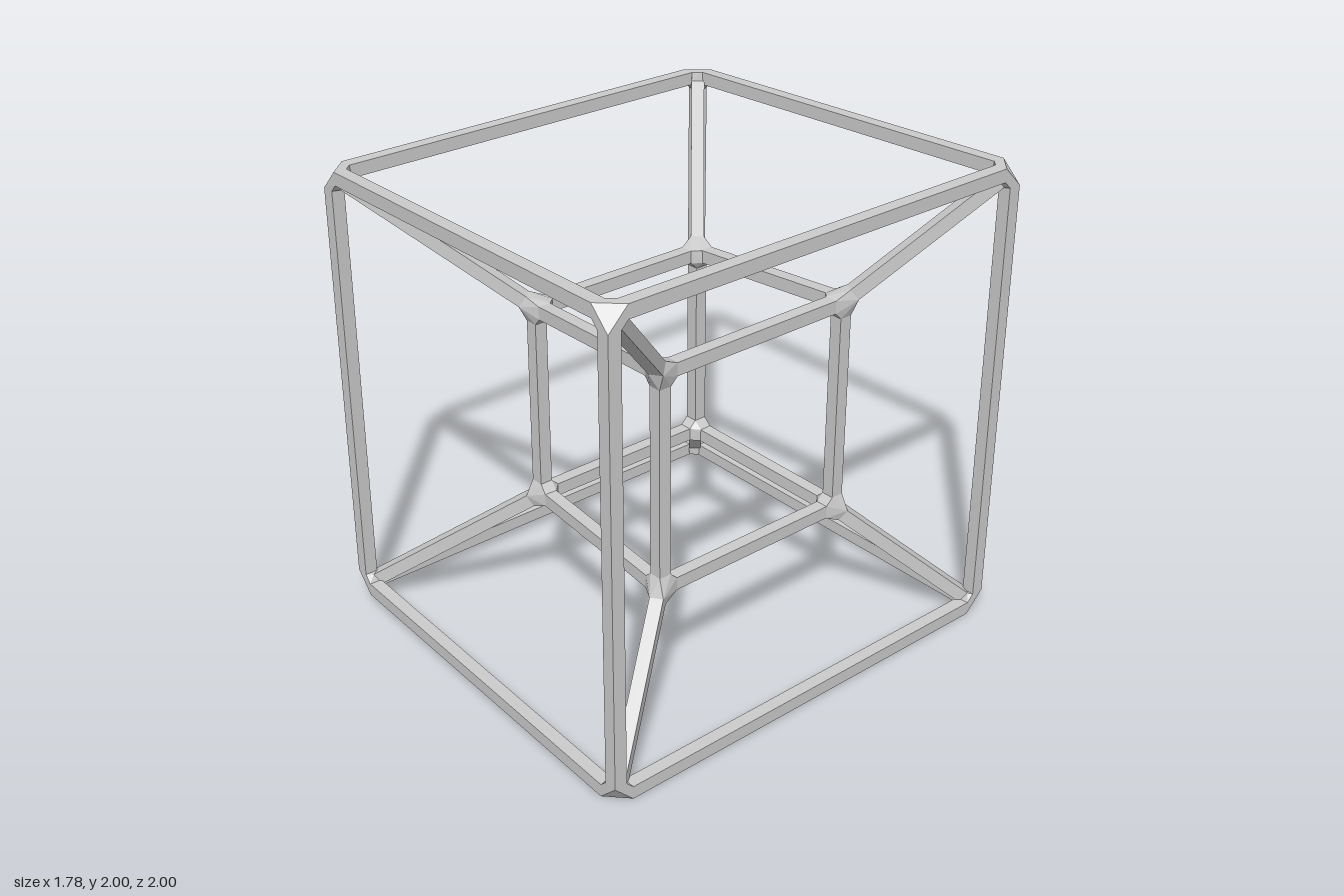
import * as THREE from 'three';
import { ConvexGeometry } from 'three/addons/geometries/ConvexGeometry.js';

const WIDTH = 0.055;   // square bar section
const SETBACK = 0.058; // distance from joint centre to bar end

export function createModel() {
  const model = new THREE.Group();
  model.name = 'nestedCubeFrame';
  const material = new THREE.MeshStandardMaterial({ color: 0xcccccc, flatShading: true, side: THREE.DoubleSide });

  // Joint centres: two nested cages, each tapering slightly towards -x
  const cage = (xLeft, halfLeft, xRight, halfRight) => {
    const joints = [];
    for (let i = 0; i < 8; i++) {
      const h = i & 1 ? halfRight : halfLeft;
      joints.push(new THREE.Vector3(i & 1 ? xRight : xLeft, 1 + (i & 2 ? h : -h), i & 4 ? h : -h));
    }
    return joints;
  };
  const joints = [...cage(-0.864, 0.927, 0.864, 0.9715), ...cage(-0.283, 0.417, 0.511, 0.459)];
  const jointPoints = joints.map(() => []);

  // Square bar between two joints; its end corners are kept for the joint hulls
  const addBar = (a, b, name) => {
    const dir = joints[b].clone().sub(joints[a]);
    const length = dir.length() - 2 * SETBACK;
    dir.normalize();
    const up = Math.abs(dir.y) > 0.99 ? new THREE.Vector3(0, 0, 1) : new THREE.Vector3(0, 1, 0);
    const side = new THREE.Vector3().crossVectors(up, dir).normalize();
    const top = new THREE.Vector3().crossVectors(dir, side);
    const bar = new THREE.Mesh(new THREE.BoxGeometry(WIDTH, WIDTH, length), material);
    bar.name = name;
    bar.quaternion.setFromRotationMatrix(new THREE.Matrix4().makeBasis(side, top, dir));
    bar.position.copy(joints[a]).add(joints[b]).multiplyScalar(0.5);
    model.add(bar);

    for (const [joint, sign] of [[a, 1], [b, -1]]) {
      for (const u of [-0.5, 0.5]) for (const v of [-0.5, 0.5]) {
        jointPoints[joint].push(joints[joint].clone()
          .addScaledVector(dir, sign * SETBACK)
          .addScaledVector(side, u * WIDTH)
          .addScaledVector(top, v * WIDTH));
      }
    }
  };

  // Bars join indices that differ by a single bit; bit 8 links the two cages
  for (let i = 0; i < 16; i++) {
    for (const bit of [1, 2, 4, 8]) {
      if (i & bit) continue;
      addBar(i, i | bit, bit === 8 ? 'diagonalBar' : i & 8 ? 'innerBar' : 'outerBar');
    }
  }

  // Faceted joints wrap the bar ends
  jointPoints.forEach((points, i) => {
    const joint = new THREE.Mesh(new ConvexGeometry(points), material);
    joint.name = i & 8 ? 'innerJoint' : 'outerJoint';
    model.add(joint);
  });

  return model;
}
